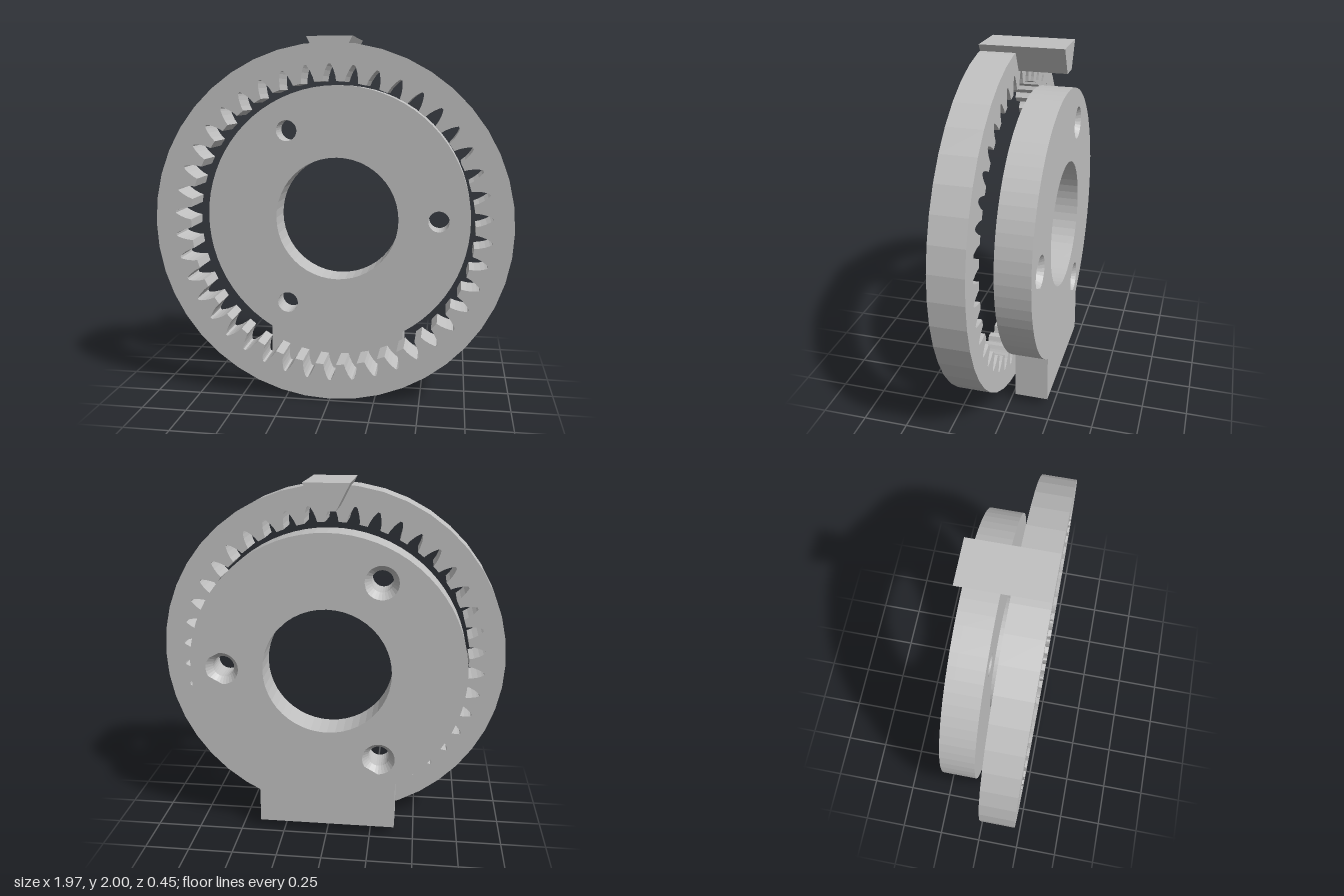
import * as THREE from 'three';

const CENTRE_Y = 0.985;

// Points of a circle, centred on (cx, cy)
function circle(r, n, cx = 0, cy = 0) {
  return Array.from({ length: n }, (_, i) => {
    const a = (i / n) * Math.PI * 2;
    return new THREE.Vector2(cx + r * Math.cos(a), cy + r * Math.sin(a));
  });
}

// Outline of the internal gear: convex-sided gaps between flat-tipped teeth
function gearOutline(teeth) {
  const pitch = (Math.PI * 2) / teeth;
  // radius and half width of one gap, from tooth tip to root
  const flank = [[0.783, 0.036], [0.81, 0.032], [0.84, 0.023], [0.862, 0.013], [0.873, 0.006]];
  const pts = [];
  for (let k = 0; k < teeth; k++) {
    const mid = Math.PI / 2 + k * pitch;
    const add = ([r, w], side) => {
      const a = mid + (side * w) / r;
      pts.push(new THREE.Vector2(r * Math.cos(a), r * Math.sin(a)));
    };
    flank.forEach((p) => add(p, -1));
    [...flank].reverse().forEach((p) => add(p, 1));
  }
  return pts;
}

function extrude(outline, holes, z0, z1, steps = 1) {
  const shape = new THREE.Shape(outline);
  holes.forEach((h) => shape.holes.push(new THREE.Path(h)));
  const geo = new THREE.ExtrudeGeometry(shape, { depth: z1 - z0, steps, bevelEnabled: false });
  return geo.translate(0, 0, z0);
}

export function createModel() {
  const model = new THREE.Group();
  model.name = 'ringGearWithMount';
  const grey = new THREE.MeshStandardMaterial({ color: 0xc0c0c0 });
  grey.name = 'lightGrey';

  const addPart = (name, geo) => {
    const mesh = new THREE.Mesh(geo, grey);
    mesh.name = name;
    mesh.position.y = CENTRE_Y;
    model.add(mesh);
  };

  // Front ring with internal teeth
  addPart('ringGear', extrude(circle(0.985, 44), [gearOutline(42)], 0.035, 0.225));

  // Dovetail key on top of the ring, reaching back over the plate
  const dovetail = [[-0.05, 0.873], [0.05, 0.873], [0.123, 1.015], [-0.123, 1.015]];
  addPart('dovetailKey', extrude(dovetail.map((p) => new THREE.Vector2(...p)), [], -0.225, 0.225));

  // Back plate: disc merged with a square foot at the bottom
  const R = 0.763, footX = 0.39, footY = 0.05 - CENTRE_Y;
  const start = -Math.acos(footX / R), sweep = Math.PI - 2 * start, n = 60;
  const outline = [new THREE.Vector2(-footX, footY), new THREE.Vector2(footX, footY)];
  for (let i = 0; i <= n; i++) {
    const a = start + (sweep * i) / n;
    outline.push(new THREE.Vector2(R * Math.cos(a), R * Math.sin(a)));
  }
  const holeR = 0.06, sinkR = 0.092, sinkDepth = 0.045, backZ = -0.22, frontZ = -0.032;
  const centres = [0, 1, 2].map((i) => {
    const a = (i * Math.PI * 2) / 3;
    return new THREE.Vector2(0.585 * Math.cos(a), 0.585 * Math.sin(a));
  });
  const holes = centres.map((c) => circle(holeR, 28, c.x, c.y));
  const plate = extrude(outline, [circle(0.356, 48), ...holes], backZ, frontZ, 2);

  // Countersink: lower the middle layer and widen the screw holes at the back
  const pos = plate.attributes.position;
  const v = new THREE.Vector2();
  for (let i = 0; i < pos.count; i++) {
    const z = pos.getZ(i);
    if (z > frontZ - 0.01) continue;
    if (z > backZ + 0.01) {
      pos.setZ(i, backZ + sinkDepth);
      continue;
    }
    v.set(pos.getX(i), pos.getY(i));
    const c = centres.find((p) => p.distanceTo(v) < holeR + 0.005);
    if (c) {
      v.sub(c).multiplyScalar(sinkR / holeR).add(c);
      pos.setXY(i, v.x, v.y);
    }
  }
  plate.computeVertexNormals();
  addPart('backPlate', plate);

  return model;
}
